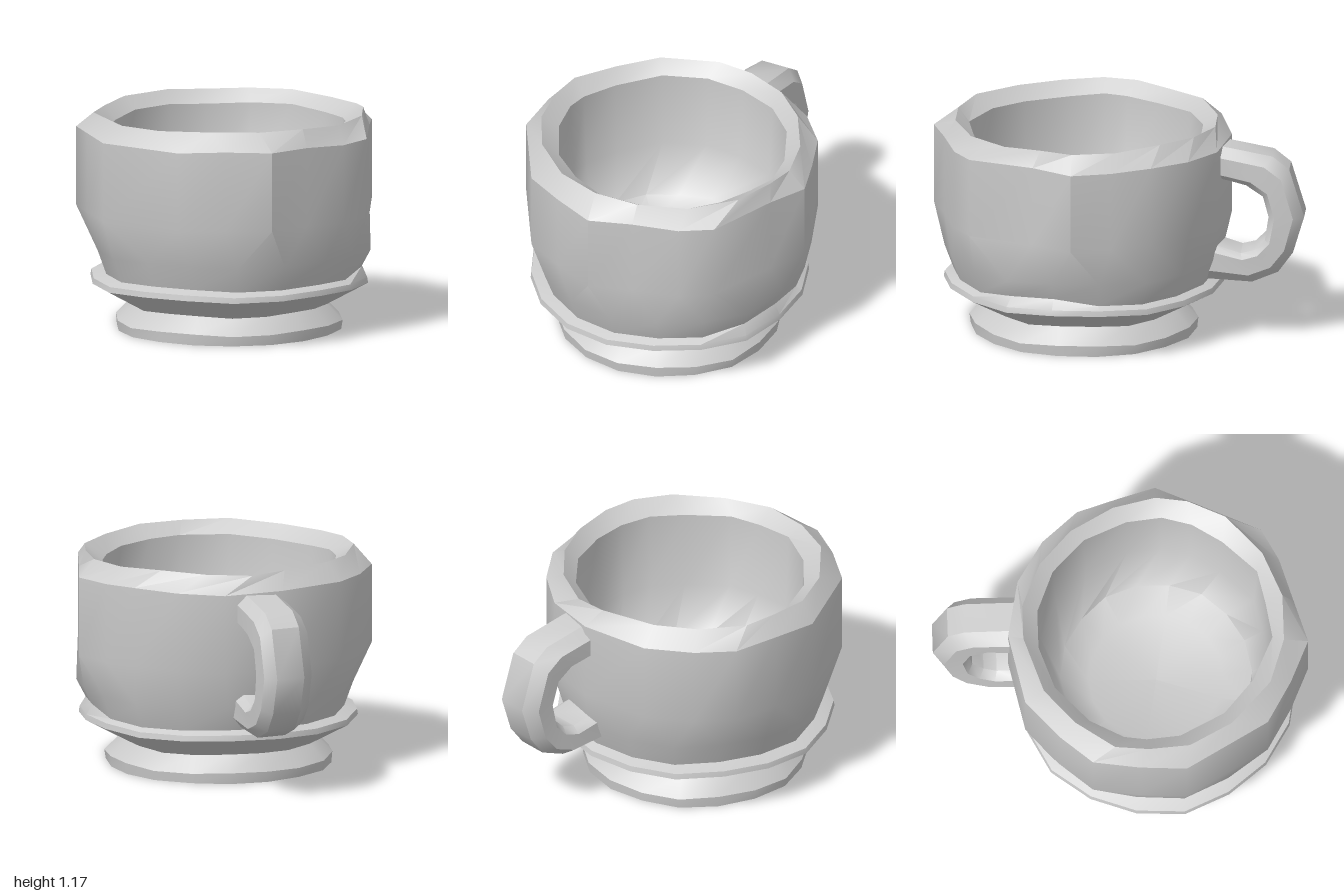
import * as THREE from 'three';
import { toCreasedNormals } from 'three/addons/utils/BufferGeometryUtils.js';

const SIDES = 18;
const CENTRE_Z = 0.19;
const material = new THREE.MeshStandardMaterial({ color: 0xcccccc, side: THREE.DoubleSide });

// Skin a list of equal-length closed loops of points
function loft(name, loops, crease = 0.5) {
  const n = loops[0].length;
  const positions = loops.flat(2);
  const index = [];
  for (let i = 0; i < loops.length - 1; i++) {
    for (let j = 0; j < n; j++) {
      const a = i * n + j, b = i * n + (j + 1) % n;
      index.push(a, b, b + n, a, b + n, a + n);
    }
  }
  const geometry = new THREE.BufferGeometry();
  geometry.setAttribute('position', new THREE.Float32BufferAttribute(positions, 3));
  geometry.setIndex(index);
  const mesh = new THREE.Mesh(toCreasedNormals(geometry, crease), material);
  mesh.name = name;
  return mesh;
}

// Slightly uneven circle, running from +z round through +x
function circle(r, y, wobble = 0.008, cx = -0.02) {
  return Array.from({ length: SIDES }, (_, j) => {
    const a = (j / SIDES) * Math.PI * 2;
    const k = r + wobble * Math.sin(j * 2.3 + 1);
    return [cx + k * Math.sin(a), y + (y > 0.01 ? wobble * 0.7 * Math.sin(j * 1.7) : 0), CENTRE_Z + k * Math.cos(a)];
  });
}

// Hand-cut outline at a height, scaled about the cup's axis
function outline(points, y, scale = 1, wobble = 0.008) {
  return points.map(([x, z], j) => [
    x * scale, y + wobble * Math.sin(j * 1.9 + 0.5), CENTRE_Z + (z - CENTRE_Z) * scale,
  ]);
}

const wallOutline = [
  [-0.10, 1.00], [0.13, 0.93], [0.37, 0.86], [0.54, 0.77], [0.70, 0.42], [0.80, 0.21],
  [0.74, 0.00], [0.67, -0.21], [0.51, -0.40], [0.29, -0.54], [-0.02, -0.60], [-0.40, -0.52],
  [-0.60, -0.34], [-0.75, -0.17], [-0.79, 0.08], [-0.80, 0.33], [-0.55, 0.77], [-0.33, 0.90],
];
const rimOutline = [
  [-0.12, 0.87], [0.13, 0.87], [0.38, 0.77], [0.59, 0.58], [0.68, 0.38], [0.71, 0.21],
  [0.66, -0.02], [0.53, -0.25], [0.35, -0.42], [0.12, -0.52], [-0.07, -0.52], [-0.37, -0.42],
  [-0.55, -0.26], [-0.70, -0.05], [-0.72, 0.13], [-0.70, 0.35], [-0.58, 0.58], [-0.36, 0.79],
];
const mouthOutline = [
  [-0.08, 0.81], [0.11, 0.78], [0.30, 0.74], [0.47, 0.56], [0.57, 0.40], [0.62, 0.24],
  [0.60, 0.05], [0.50, -0.18], [0.33, -0.35], [0.11, -0.44], [-0.10, -0.44], [-0.33, -0.36],
  [-0.52, -0.18], [-0.62, 0.00], [-0.64, 0.12], [-0.62, 0.30], [-0.50, 0.54], [-0.32, 0.70],
];

// Curved handle: a chamfered section swept between an inner and an outer arc
function createHandle() {
  // each station: outer z, outer y, inner z, inner y
  const stations = [
    [-0.53, 1.07, -0.50, 0.90], [-0.60, 1.06, -0.60, 0.88], [-0.83, 1.02, -0.69, 0.86],
    [-0.92, 0.95, -0.78, 0.80], [-1.00, 0.69, -0.81, 0.69], [-0.94, 0.49, -0.79, 0.56],
    [-0.86, 0.38, -0.73, 0.50], [-0.72, 0.32, -0.66, 0.48], [-0.47, 0.33, -0.52, 0.52],
  ];
  // each corner: x, and position from the inner (0) to the outer (1) arc
  const section = [
    [0.01, 1], [0.17, 1], [0.22, 0.7], [0.22, 0.17], [0.18, 0], [-0.01, 0], [-0.06, 0.17], [-0.06, 0.7],
  ];
  const loops = stations.map(([oz, oy, iz, iy]) => {
    const lean = 0.03 * (-oz - 0.5) / 0.5;
    return section.map(([x, t]) => [x + lean, iy + (oy - iy) * t, iz + (oz - iz) * t]);
  });
  return loft('handle', loops, 0.6);
}

export function createModel() {
  const group = new THREE.Group();
  group.name = 'cup';

  const waist = circle(0.525, 0.14);
  const shoulder = circle(0.69, 0.31, 0.008, 0);
  // the bowl's foot rises a little on the left side
  for (const j of [3, 4]) shoulder[j][1] += 0.035;

  // Foot with a shallow recess underneath
  group.add(loft('foot', [
    circle(0.001, 0.05, 0), circle(0.53, 0.05, 0), circle(0.54, 0, 0),
    circle(0.602, 0, 0.006), circle(0.608, 0.055), waist,
  ]));

  // Flared collar between foot and bowl
  group.add(loft('collar', [waist, circle(0.745, 0.26), circle(0.74, 0.29), shoulder]));

  // Outer wall of the bowl
  group.add(loft('bowl', [
    shoulder, circle(0.738, 0.44, 0.01, 0), outline(wallOutline, 0.65), outline(wallOutline, 1.075),
  ], 0.7));

  // Bevelled lip
  group.add(loft('rim', [
    outline(wallOutline, 1.075), outline(rimOutline, 1.167), outline(mouthOutline, 1.10),
  ]));

  // Hollow inside with a rounded floor
  group.add(loft('interior', [
    outline(mouthOutline, 1.10), outline(mouthOutline, 0.68, 0.97),
    circle(0.51, 0.42, 0.005), circle(0.36, 0.35, 0), circle(0.001, 0.33, 0),
  ], 0.9));

  group.add(createHandle());
  return group;
}
